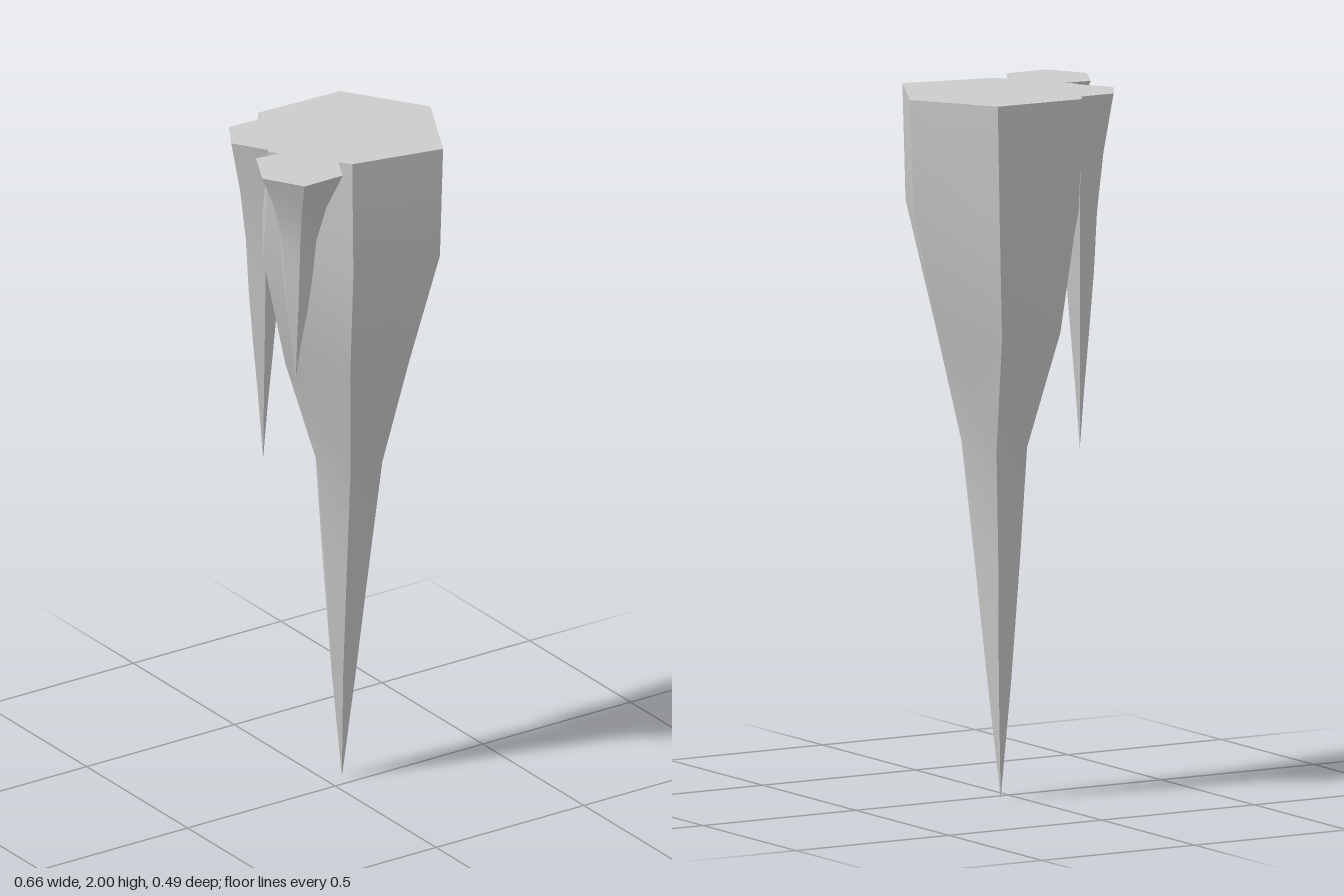
import * as THREE from 'three';
import { toCreasedNormals } from 'three/addons/utils/BufferGeometryUtils.js';

// Skins a stack of rings (top to bottom, corners counter-clockwise from above) down to a point.
// rings: [{ y, pts: [[x, z], ...] }], tip: [x, y, z]
function spikeGeometry(rings, tip) {
  const pos = [];
  const tri = (a, b, c) => pos.push(...a, ...b, ...c);
  const loops = rings.map(({ y, pts }) => pts.map(([x, z]) => [x, y, z]));
  const n = loops[0].length;

  // flat top
  const centre = [0, 1, 2].map((k) => loops[0].reduce((s, p) => s + p[k] / n, 0));
  for (let i = 0; i < n; i++) {
    const j = (i + 1) % n;
    tri(centre, loops[0][i], loops[0][j]);
    // side bands
    for (let r = 0; r < loops.length - 1; r++) {
      const a = loops[r], b = loops[r + 1];
      tri(a[i], b[i], b[j]);
      tri(a[i], b[j], a[j]);
    }
    // pointed end
    const last = loops[loops.length - 1];
    tri(last[i], tip, last[j]);
  }

  const g = new THREE.BufferGeometry();
  g.setAttribute('position', new THREE.Float32BufferAttribute(pos, 3));
  // smooth down the length, sharp along the six ridges
  return toCreasedNormals(g, 0.55);
}

// Small spike: one hexagonal top shrunk evenly towards its tip
function taperedSpike(top, centre, tip, scales) {
  const steps = scales.length;
  const rings = scales.map((s, r) => {
    const t = r / steps;
    const cx = centre[0] + (tip[0] - centre[0]) * t;
    const cz = centre[1] + (tip[2] - centre[1]) * t;
    return {
      y: 2 + (tip[1] - 2) * t,
      pts: top.map(([x, z]) => [cx + (x - centre[0]) * s, cz + (z - centre[1]) * s]),
    };
  });
  return spikeGeometry(rings, tip);
}

export function createModel() {
  const group = new THREE.Group();
  group.name = 'stalactites';
  const stone = new THREE.MeshStandardMaterial({ color: 0xcccccc });
  stone.name = 'grey stone';

  const add = (name, geometry) => {
    const mesh = new THREE.Mesh(geometry, stone);
    mesh.name = name;
    group.add(mesh);
  };

  // Large central spike: right, back right, back left, left, front left, front right
  add('mainStalactite', spikeGeometry([
    { y: 2.0, pts: [[0.33, -0.01], [0.18, -0.238], [-0.09, -0.248], [-0.215, -0.015], [-0.07, 0.187], [0.198, 0.245]] },
    { y: 1.67, pts: [[0.315, -0.01], [0.17, -0.232], [-0.085, -0.23], [-0.233, -0.015], [-0.075, 0.2], [0.192, 0.238]] },
    { y: 1.33, pts: [[0.235, -0.012], [0.14, -0.195], [-0.06, -0.18], [-0.155, -0.02], [-0.055, 0.155], [0.15, 0.15]] },
    { y: 1.0, pts: [[0.15, -0.015], [0.1, -0.1], [0, -0.1], [-0.05, -0.015], [0, 0.077], [0.105, 0.08]] },
    { y: 0.67, pts: [[0.11, -0.02], [0.085, -0.085], [0.015, -0.085], [-0.02, -0.02], [0.014, 0.037], [0.087, 0.04]] },
    { y: 0.33, pts: [[0.085, -0.03], [0.07, -0.063], [0.03, -0.063], [0.01, -0.03], [0.027, 0], [0.068, 0.002]] },
  ], [0.05, 0, -0.04]));

  // Short spike at the front
  add('frontStalactite', taperedSpike(
    [[-0.08, 0.125], [-0.135, 0.022], [-0.27, 0.002], [-0.332, 0.125], [-0.265, 0.235], [-0.135, 0.235]],
    [-0.205, 0.12], [-0.215, 1.36, 0.12],
    [1, 0.64, 0.42, 0.35, 0.25, 0.11]));

  // Medium spike at the back
  add('backStalactite', taperedSpike(
    [[-0.05, -0.12], [-0.108, -0.21], [-0.213, -0.215], [-0.27, -0.12], [-0.21, -0.025], [-0.108, -0.025]],
    [-0.16, -0.12], [-0.145, 0.99, -0.145],
    [1, 0.7, 0.51, 0.42, 0.28, 0.13]));

  return group;
}
